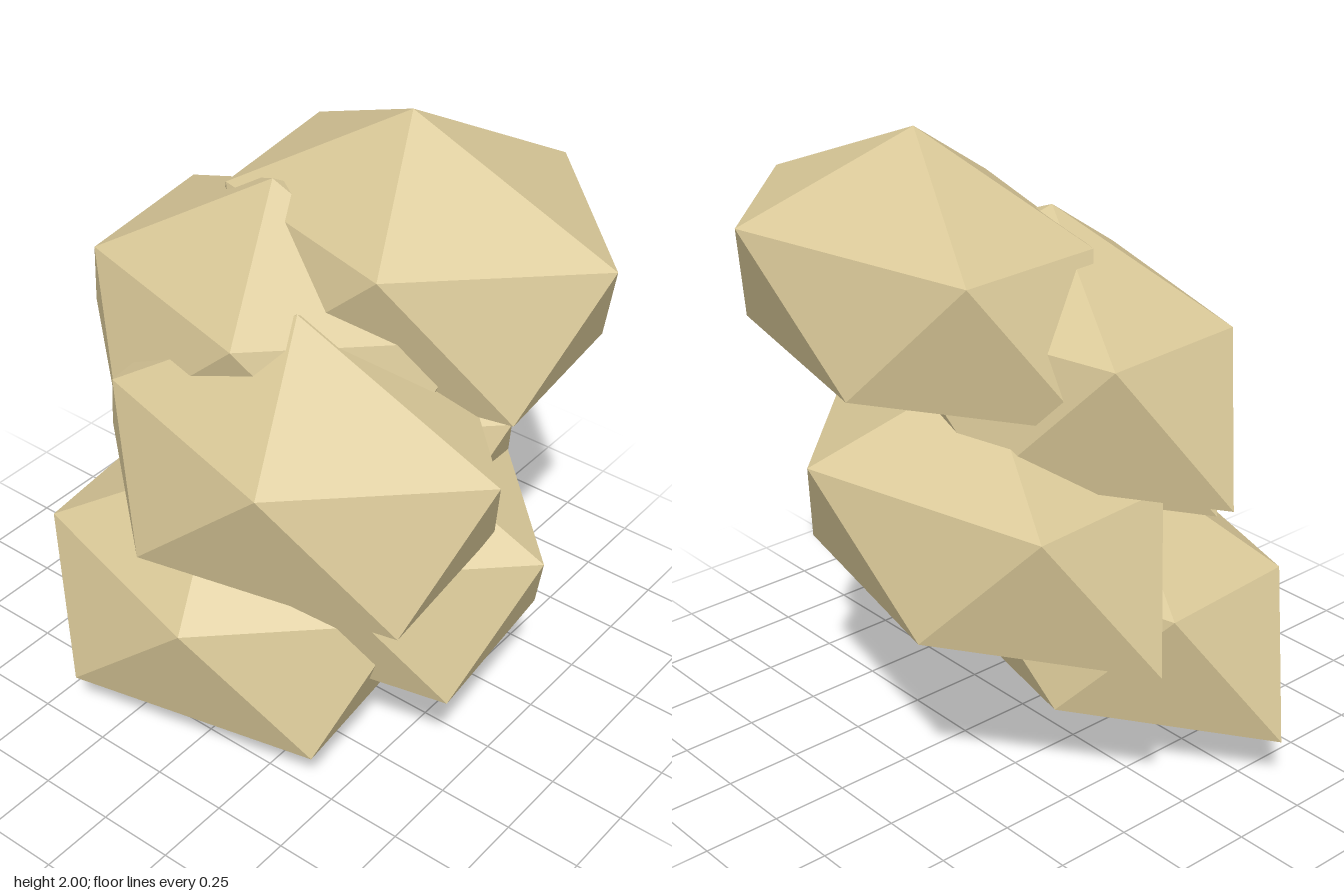
import * as THREE from 'three';

// Irregular twenty-sided chunk: bottom tip at y = 0, apex above it, two rings of five
function chunkGeometry() {
  const apex = [0, 0.897, 0];
  const tip = [0, 0, 0];
  const upper = [
    [0.72, 0.616, 0], [0.232, 0.618, 0.474], [-0.507, 0.592, 0.254],
    [-0.56, 0.605, -0.268], [0.23, 0.63, -0.488],
  ];
  const lower = [
    [0.588, 0.184, 0.28], [-0.234, 0.186, 0.47], [-0.775, 0.175, 0],
    [-0.21, 0.205, -0.432], [0.545, 0.212, -0.26],
  ];
  const points = [];
  for (let i = 0; i < 5; i++) {
    const j = (i + 1) % 5;
    points.push(apex, upper[j], upper[i]);
    points.push(upper[i], upper[j], lower[i]);
    points.push(upper[j], lower[j], lower[i]);
    points.push(tip, lower[i], lower[j]);
  }
  const geometry = new THREE.BufferGeometry();
  geometry.setAttribute('position', new THREE.Float32BufferAttribute(points.flat(), 3));
  geometry.computeVertexNormals();
  return geometry;
}

export function createModel() {
  const group = new THREE.Group();
  group.name = 'chunkPile';
  const sand = new THREE.MeshStandardMaterial({ color: 0xd8c797, flatShading: true });
  sand.name = 'sand';
  const geometry = chunkGeometry();

  // Six equal chunks climb in even steps, alternating sideways and cycling front to back
  for (let i = 0; i < 6; i++) {
    const chunk = new THREE.Mesh(geometry, sand);
    chunk.name = `chunk${i + 1}`;
    chunk.position.set(i % 2 ? 0.18 : -0.131, i * 0.2206, 0.268 * (1 - (i % 3)));
    group.add(chunk);
  }
  return group;
}
